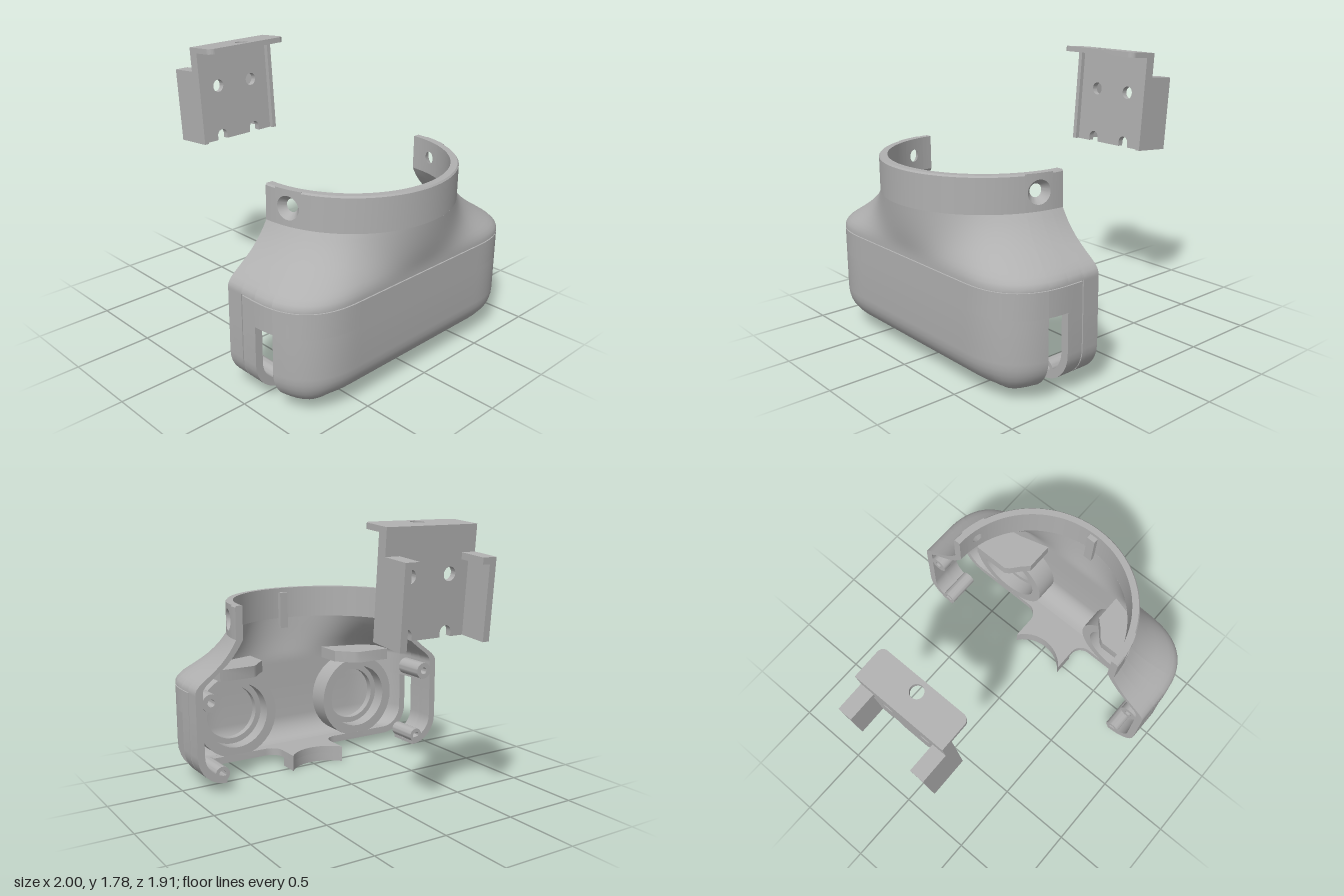
import * as THREE from 'three';
import { toCreasedNormals } from 'three/addons/utils/BufferGeometryUtils.js';

const RAD = Math.PI / 180;
const X0 = 0.33, HALF = 0.955, CORNER = 0.42, POWER = 2.5, RING = 0.665, WALL = 0.05;
const SEAM_A = Math.atan(0.115 / 0.955), SEAM_B = Math.atan(0.123 / 0.955);
const SLOT_A = Math.atan(0.23 / 0.955), SLOT_B = Math.atan(0.36 / 0.941);
const mix = THREE.MathUtils.lerp;

// Outline of the shell at angle phi (0 = +z, 90 = +x): w = 1 rounded box, w = 0 round collar
function outline(phi, w, inset) {
  const s = Math.sin(phi), c = Math.abs(Math.cos(phi)), sign = Math.cos(phi) < 0 ? -1 : 1;
  const k = HALF - CORNER;
  const over = (v) => Math.max(0, v - k) / CORNER;
  let lo = 0.3, hi = 1.5;
  for (let n = 0; n < 30; n++) {
    const r = (lo + hi) / 2;
    if (over(X0 + r * s) ** POWER + over(r * c) ** POWER > 1) hi = r;
    else lo = r;
  }
  let nx = over(X0 + lo * s) ** (POWER - 1), nz = over(lo * c) ** (POWER - 1);
  const len = Math.hypot(nx, nz), acute = Math.min(phi, Math.PI - phi);
  nx *= THREE.MathUtils.clamp((acute - SLOT_B) / 0.35, 0, 1) / len; // keeps the slot edges straight
  nz /= len;
  const x = X0 + mix(RING * s, lo * s, w) - inset * mix(s, nx, w);
  const z = mix(RING * c, lo * c, w) - inset * mix(c, nz, w);
  return [x, z * sign];
}

// Closed solid between an outer (k = 0) and an inner (k = 1) grid of points
function solid(f, ni, nj) {
  const pos = [];
  const quad = (...p) => [0, 1, 2, 0, 2, 3].forEach((n) => pos.push(...f(...p[n])));
  for (let i = 0; i < ni; i++) {
    for (let j = 0; j < nj; j++) {
      quad([i, j, 0], [i + 1, j, 0], [i + 1, j + 1, 0], [i, j + 1, 0]);
      quad([i + 1, j, 1], [i, j, 1], [i, j + 1, 1], [i + 1, j + 1, 1]);
    }
    quad([i, nj, 0], [i + 1, nj, 0], [i + 1, nj, 1], [i, nj, 1]);
    quad([i, 0, 1], [i + 1, 0, 1], [i + 1, 0, 0], [i, 0, 0]);
  }
  for (let j = 0; j < nj; j++) {
    quad([0, j, 1], [0, j, 0], [0, j + 1, 0], [0, j + 1, 1]);
    quad([ni, j, 0], [ni, j, 1], [ni, j + 1, 1], [ni, j + 1, 0]);
  }
  const g = new THREE.BufferGeometry();
  g.setAttribute('position', new THREE.Float32BufferAttribute(pos, 3));
  return toCreasedNormals(g, 0.6);
}

// Shell wall over a range of angles; rows are [y, w, inset, innerY, innerInset]
function wall(phi0, phi1, rows) {
  const n = Math.max(2, Math.ceil((phi1 - phi0) / (2.5 * RAD)));
  return solid((i, j, k) => {
    const [y, w, inset, yi, ii] = rows[j];
    const [x, z] = outline(mix(phi0, phi1, i / n), w, k ? ii : inset);
    return [x, k ? yi : y, z];
  }, n, rows.length - 1);
}
const row = (y, w, inset = 0) => [y, w, inset, y, WALL];
const sunk = (rows) => rows.map(([y, w, inset, yi, ii]) => [y, w, inset + 0.008, yi, ii]);

function polygon(points) {
  return new THREE.Shape(points.map(([a, b]) => new THREE.Vector2(a, b)));
}
function hole(shape, x, y, r) {
  shape.holes.push(new THREE.Path().absarc(x, y, r, 0, Math.PI * 2, true));
  return shape;
}
const extrude = (shape, depth) =>
  toCreasedNormals(new THREE.ExtrudeGeometry(shape, { depth, bevelEnabled: false, curveSegments: 20 }), 0.6);
// Plate lying flat: shape is (x, z), from y - depth up to y
const flat = (shape, depth, y) => extrude(shape, depth).rotateX(Math.PI / 2).translate(0, y, 0);
// Plate facing x: shape is (-z, y), from x to x + depth
const upright = (shape, depth, x) => extrude(shape, depth).rotateY(Math.PI / 2).translate(x, 0, 0);
const tube = (r, inner, depth, x, y, z) =>
  upright(hole(new THREE.Shape().absarc(0, 0, r, 0, Math.PI * 2), 0, 0, inner), depth, x).translate(0, y, z);

export function createModel() {
  const grey = new THREE.MeshStandardMaterial({ color: 0xb0b0b0 });
  grey.name = 'grey plastic';
  const model = new THREE.Group();
  const housing = new THREE.Group();
  housing.name = 'housing';
  const bracket = new THREE.Group();
  bracket.name = 'bracket';
  model.add(housing, bracket);
  const add = (parent, name, geometry) => {
    const m = new THREE.Mesh(geometry, grey);
    m.name = name;
    parent.add(m);
    return m;
  };
  const addBoth = (name, a, b, rows) => {
    add(housing, name, wall(a, b, rows));
    add(housing, name, wall(Math.PI - b, Math.PI - a, rows));
  };

  // Lower body with rounded bottom edge, split by the two side slots
  const low = [];
  for (let n = 0; n <= 8; n++) {
    const a = (1 - n / 8) * Math.PI / 2, c = Math.cos(a), s = Math.sin(a);
    low.push([0.26 - 0.2 * s, 1, 0.2 - 0.2 * c, 0.26 - 0.15 * s, 0.2 - 0.15 * c]);
  }
  low.push(row(0.51, 1));
  add(housing, 'lowerBody', wall(SLOT_B, Math.PI - SLOT_B, low));
  addBoth('strap', 0, SEAM_A, low);
  addBoth('strapSeam', SEAM_A, SEAM_B, sunk(low));
  addBoth('strapEdge', SEAM_B, SLOT_A, low);

  // Upper body: seam groove, then the shoulder flowing into the round collar
  const side = [row(0.51, 1), row(0.665, 1)];
  const shoulder = [row(0.673, 1), ...[[0.69, 0.995], [0.71, 0.965], [0.735, 0.89], [0.76, 0.78], [0.79, 0.64],
    [0.82, 0.51], [0.85, 0.39], [0.89, 0.26], [0.93, 0.15], [0.965, 0.07], [1, 0]].map(([y, w]) => row(y, w))];
  const grooved = [...side, row(0.666, 1, 0.008), row(0.672, 1, 0.008), ...shoulder];
  add(housing, 'shoulder', wall(SLOT_B, Math.PI - SLOT_B, grooved));
  addBoth('slotTop', SLOT_A, SLOT_B, grooved);
  addBoth('upperStrapEdge', SEAM_B, SLOT_A, grooved);
  addBoth('upperStrapSeam', SEAM_A, SEAM_B, [...sunk([...side, row(0.672, 1)]), ...shoulder]);
  addBoth('upperStrap', 0, SEAM_A, [...side, ...shoulder]);

  // Collar with two countersunk screw holes
  const hc = Math.asin(0.16 / RING), hw = 0.087 / RING, rim = [row(1, 0), row(1.21, 0), row(1.22, 0, 0.008)];
  add(housing, 'collar', wall(hc + hw, Math.PI - hc - hw, rim));
  addBoth('collarEnd', 0, hc - hw, rim);
  for (const centre of [hc, Math.PI - hc]) {
    add(housing, 'screwHole', solid((i, j, k) => {
      const a = (-i / 32) * Math.PI * 2, c = Math.cos(a), s = Math.sin(a);
      const m = Math.max(Math.abs(c), Math.abs(s)), r = k ? 0.04 : 0.072;
      const u = mix(c * r, (c / m) * 0.087, j / 2), v = mix(s * r, (s / m) * 0.11, j / 2);
      const [x, z] = outline(centre + u / RING, 0, k ? WALL : 0);
      return [x, 1.11 + v, z];
    }, 32, 2));
  }
  add(housing, 'collarRib', new THREE.BoxGeometry(0.05, 0.26, 0.06).translate(0.935, 1.06, 0));

  // Floor with a tongue that ends in a concave rest
  const arc = [];
  for (let n = 0; n <= 12; n++) {
    const a = mix(-1, 1, n / 12) * Math.asin(0.8);
    arc.push([0.29 + 0.25 * Math.cos(a), 0.25 * Math.sin(a)]);
  }
  const edge = [];
  for (let n = 0; n <= 40; n++) edge.push(outline(mix(SLOT_B, Math.PI - SLOT_B, n / 40), 1, 0.2));
  const fillet = [];
  for (let n = 0; n <= 6; n++) {
    const a = (n / 6) * Math.PI / 2;
    fillet.push([0.6 + 0.09 * Math.sin(a), 0.29 - 0.09 * Math.cos(a)]);
  }
  const mirrored = fillet.map(([x, z]) => [x, -z]).reverse();
  add(housing, 'floor', flat(polygon([...edge, ...mirrored, ...arc, ...fillet]), 0.05, 0.11));
  add(housing, 'tongueRest', flat(polygon([...arc, [0.58, 0.2], [0.58, -0.2]]), 0.06, 0.06));

  for (const s of [-1, 1]) {
    // Round socket with an inner step, under a flat hood
    add(housing, 'socket', tube(0.3, 0.23, 0.16, 0.69, 0.39, s * 0.5));
    add(housing, 'socketStep', tube(0.25, 0.19, 0.05, 0.79, 0.39, s * 0.5));
    const hood = polygon([[0.56, 0.43], [0.58, 0.4], [0.64, 0.35], [0.69, 0.3], [0.88, 0.3], [0.8, 0.58],
      [0.72, 0.68], [0.56, 0.68]].map(([x, z]) => [x, s * z]));
    add(housing, 'hood', flat(hood, 0.08, 0.76));
    // Screw bosses on the straps
    add(housing, 'upperBoss', tube(0.06, 0.025, 0.23, X0, 0.61, s * 0.85));
    add(housing, 'lowerBoss', tube(0.05, 0.025, 0.23, X0, 0.125, s * 0.785));
  }

  // Bracket, drawn upright about its lower front edge and then tilted
  const notch = (z) => {
    const pts = [];
    for (let n = 0; n <= 10; n++) {
      const a = Math.PI * (1 - n / 10);
      pts.push([z + 0.04 * Math.cos(a), 0.03 + 0.04 * Math.sin(a)]);
    }
    return [[z - 0.04, 0], ...pts, [z + 0.04, 0]];
  };
  const plate = polygon([[-0.315, 0], ...notch(-0.14), ...notch(0.14), [0.315, 0], [0.315, 0.63], [-0.315, 0.63]]);
  hole(plate, 0.14, 0.37, 0.042);
  hole(plate, -0.14, 0.37, 0.042);
  add(bracket, 'backPlate', upright(plate, 0.04, -0.07));

  const lip = new THREE.Shape();
  lip.moveTo(-0.07, -0.315);
  lip.lineTo(0.11, -0.315);
  lip.absarc(0.11, -0.275, 0.04, -Math.PI / 2, 0);
  lip.absarc(0.11, 0.275, 0.04, 0, Math.PI / 2);
  lip.lineTo(-0.07, 0.315);
  add(bracket, 'topLip', flat(hole(lip, 0.08, 0, 0.042), 0.035, 0.65));
  for (const s of [-1, 1]) {
    add(bracket, 'edgeRib', new THREE.BoxGeometry(0.07, 0.62, 0.03).translate(-0.035, 0.31, s * 0.3));
    add(bracket, 'sideArm', new THREE.BoxGeometry(0.19, 0.49, 0.045).translate(-0.16, 0.245, s * 0.2925));
    add(bracket, 'armCap', new THREE.BoxGeometry(0.19, 0.04, 0.095).translate(-0.16, 0.47, s * 0.267));
  }
  bracket.position.set(-0.705, 1.12, 0);
  bracket.rotation.z = 0.085;
  return model;
}
